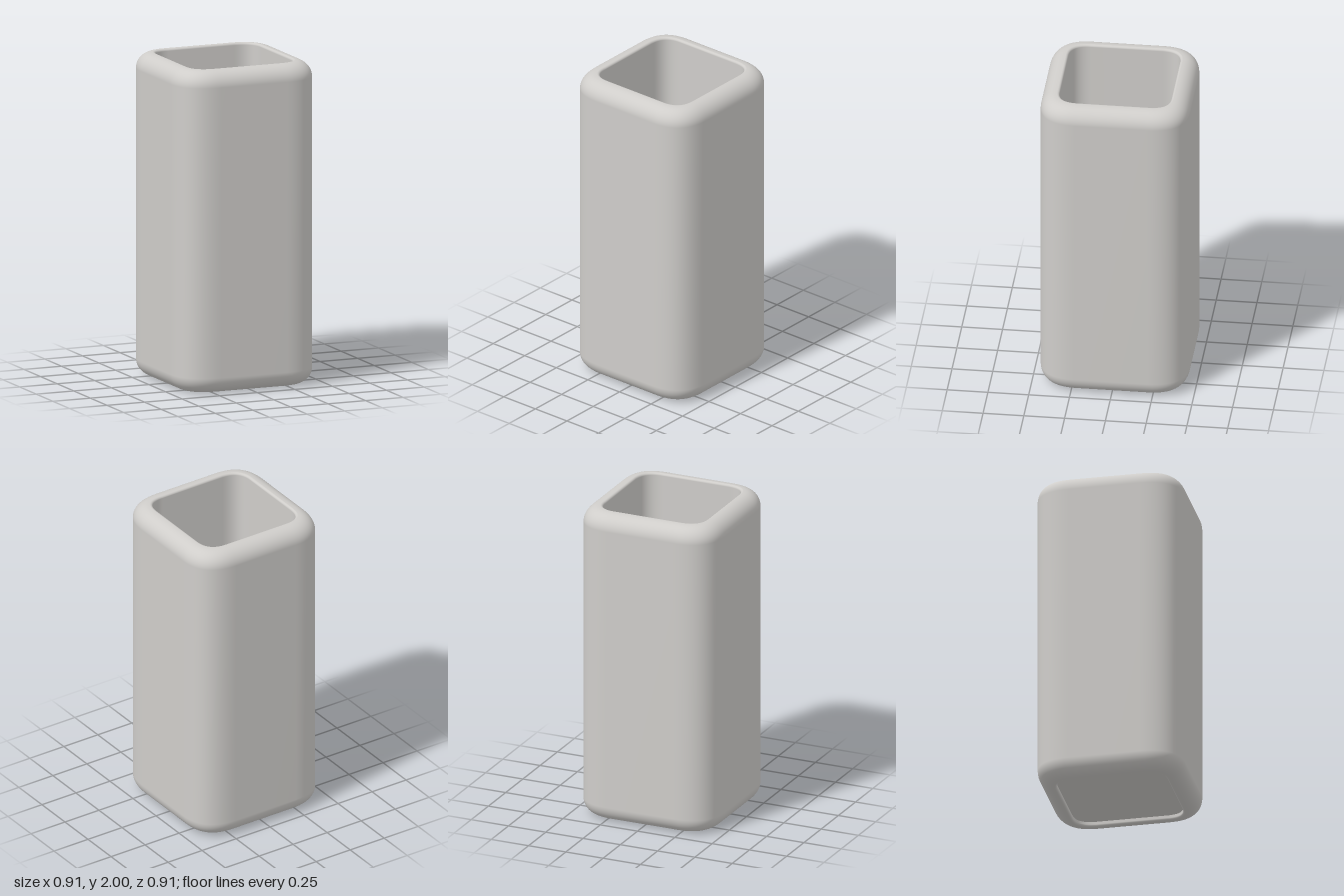
import * as THREE from 'three';

const OUTER = 0.457, INNER = 0.343, CORNER_START = 0.22, HEIGHT = 2;

// Rounded square outline of half-width h, as [x, z] pairs
function outline(h, steps = 14) {
  const corner = new THREE.QuadraticBezierCurve(
    new THREE.Vector2(h, CORNER_START),
    new THREE.Vector2(h, h),
    new THREE.Vector2(CORNER_START, h)
  ).getPoints(steps);
  const pts = [];
  for (let k = 0; k < 4; k++) {
    for (const p of corner) {
      let x = p.x, z = p.y;
      for (let r = 0; r < k; r++) [x, z] = [-z, x];
      pts.push([x, z]);
    }
  }
  return pts;
}

// Closed wall section as [half-width, y]: up the outside, down the inside
function wallSection() {
  const big = 0.1, small = OUTER - INNER - big, pts = [];
  const arc = (cx, cy, r, from, n) => {
    for (let i = 0; i <= n; i++) {
      const a = from + (i / n) * Math.PI / 2;
      pts.push([cx + r * Math.cos(a), cy + r * Math.sin(a)]);
    }
  };
  const mid = OUTER - big - 0.001, lip = INNER + small - 0.001;
  arc(OUTER - big, big, big, -Math.PI / 2, 12);
  arc(OUTER - big, HEIGHT - big, big, 0, 12);
  arc(Math.min(mid, lip), HEIGHT - small, small, Math.PI / 2, 5);
  arc(Math.min(mid, lip), small, small, Math.PI, 5);
  return pts;
}

// Sweep the section around the rounded square
function wallGeometry() {
  const section = wallSection();
  const rings = section.map(([h, y]) => outline(h).map(([x, z]) => [x, y, z]));
  const m = rings.length, n = rings[0].length, index = [];
  for (let i = 0; i < m; i++) {
    for (let j = 0; j < n; j++) {
      const i2 = (i + 1) % m, j2 = (j + 1) % n;
      const a = i * n + j, b = i * n + j2, c = i2 * n + j, d = i2 * n + j2;
      index.push(a, c, b, b, c, d);
    }
  }
  const geo = new THREE.BufferGeometry();
  geo.setAttribute('position', new THREE.Float32BufferAttribute(rings.flat(2), 3));
  geo.setIndex(index);
  geo.computeVertexNormals();
  return geo;
}

export function createModel() {
  const group = new THREE.Group();
  group.name = 'squareVase';
  const ceramic = new THREE.MeshStandardMaterial({ color: 0xcfcdca });
  ceramic.name = 'paleGrey';

  const wall = new THREE.Mesh(wallGeometry(), ceramic);
  wall.name = 'wall';
  group.add(wall);

  // Slightly recessed base, tucked into the wall
  const shape = new THREE.Shape(outline(INNER + 0.004).map(([x, z]) => new THREE.Vector2(x, z)));
  const floorGeo = new THREE.ExtrudeGeometry(shape, { depth: 0.04, bevelEnabled: false });
  floorGeo.rotateX(-Math.PI / 2);
  const floor = new THREE.Mesh(floorGeo, ceramic);
  floor.name = 'floor';
  floor.position.y = 0.03;
  group.add(floor);

  return group;
}
